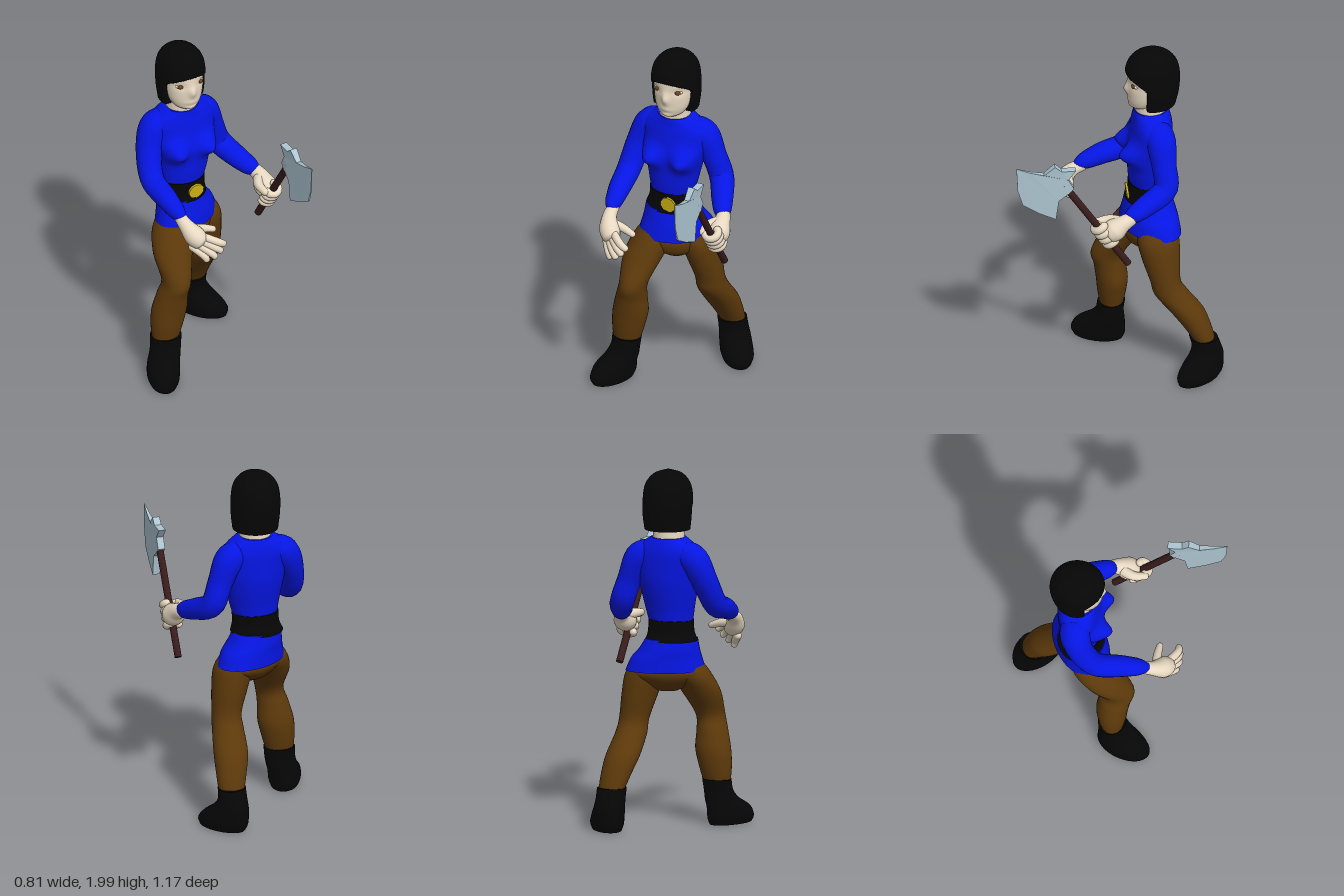
import * as THREE from 'three';

const mat = (name, color) => Object.assign(new THREE.MeshStandardMaterial({ color }), { name });
const V = (x, y, z) => new THREE.Vector3(x, y, z);
const spline = (pts) => new THREE.CatmullRomCurve3(pts, false, 'catmullrom', 0.5);

// Skin a list of closed rings, with separate flat caps at both ends
function skin(rings) {
  const n = rings[0].length, pos = [], idx = [];
  const add = (p) => pos.push(p.x, p.y, p.z) / 3 - 1;
  rings.forEach((r) => r.forEach(add));
  for (let j = 0; j < rings.length - 1; j++) {
    for (let i = 0; i < n; i++) {
      const a = j * n + i, b = j * n + (i + 1) % n;
      idx.push(a, b, a + n, b, b + n, a + n);
    }
  }
  [rings[0], rings[rings.length - 1]].forEach((ring, end) => {
    const mid = add(ring.reduce((s, p) => s.add(p), V(0, 0, 0)).divideScalar(n));
    const start = pos.length / 3;
    ring.forEach(add);
    for (let i = 0; i < n; i++) {
      const a = start + i, b = start + (i + 1) % n;
      if (end) idx.push(mid, a, b); else idx.push(mid, b, a);
    }
  });
  const g = new THREE.BufferGeometry();
  g.setAttribute('position', new THREE.Float32BufferAttribute(pos, 3));
  g.setIndex(idx);
  g.computeVertexNormals();
  return g;
}

// Stack of horizontal ellipses; rows are [cx, y, cz, rx, rz]; shape() may move a point
function loft(rows, { yaw = 0, steps = 24, sides = 32, shape } = {}) {
  const list = [...rows].sort((a, b) => a[1] - b[1]);
  const centre = spline(list.map((r) => V(r[0], r[1], r[2])));
  const radius = spline(list.map((r) => V(r[3], 0, r[4])));
  const rings = [];
  for (let j = 0; j <= steps; j++) {
    const c = centre.getPoint(j / steps), r = radius.getPoint(j / steps), ring = [];
    for (let i = 0; i < sides; i++) {
      const a = i / sides * Math.PI * 2;
      const p = V(r.x * Math.sin(a), 0, r.z * Math.cos(a)).applyAxisAngle(V(0, 1, 0), yaw).add(c);
      if (shape) shape(p, c);
      ring.push(p);
    }
    rings.push(ring);
  }
  return skin(rings);
}

// Round-ended tube; points are [x, y, z, radius]
function limb(points, steps = 24, sides = 18) {
  const path = spline(points.map((p) => V(p[0], p[1], p[2])));
  const radius = spline(points.map((p) => V(p[3], 0, 0)));
  const N = V(0.31, 0.2, 0.9), rings = [];
  for (let j = 0; j <= steps; j++) {
    const t = (1 - Math.cos(j / steps * Math.PI)) / 2;
    const c = path.getPoint(t), T = path.getTangent(t);
    N.addScaledVector(T, -N.dot(T)).normalize();
    const B = T.clone().cross(N);
    const e = Math.max(0, Math.abs(t - 0.5) - 0.4) / 0.1;
    const r = radius.getPoint(t).x * Math.max(0.08, Math.sqrt(Math.max(0, 1 - e * e)));
    rings.push(Array.from({ length: sides }, (_, i) => {
      const a = i / sides * Math.PI * 2;
      return c.clone().addScaledVector(N, r * Math.cos(a)).addScaledVector(B, r * Math.sin(a));
    }));
  }
  return skin(rings);
}

// Swell the front of a loft; bumps are [x, y, push, width, height]
const swell = (bumps) => (p, c) => {
  const front = Math.min(1, Math.max(0, (p.z - c.z) / 0.05));
  let dz = 0;
  for (const [x, y, push, w, h] of bumps) {
    dz += push * Math.exp(-(((p.x - x) / w) ** 2) - ((p.y - y) / h) ** 2);
  }
  p.z += dz * front;
};

export function createModel() {
  const model = new THREE.Group();
  model.name = 'axeFighter';
  const skinTone = mat('skin', 0xe9dac3), blue = mat('blueCloth', 0x0616e4), brown = mat('brownCloth', 0x5e3a0b);
  const black = mat('black', 0x060606), gold = mat('gold', 0xd4b814), steel = mat('steel', 0xaec6d2);
  const wood = mat('darkWood', 0x3a1c1c), white = mat('eyeWhite', 0xf2ece2), iris = mat('irisBrown', 0x74481a);
  const add = (name, geometry, material, parent = model) => {
    const m = new THREE.Mesh(geometry, material);
    m.name = name;
    parent.add(m);
    return m;
  };

  // Tunic, belt and buckle
  add('tunicTop', loft([
    [-0.058, 1.14, -0.185, 0.122, 0.098], [-0.052, 1.22, -0.185, 0.14, 0.108], [-0.05, 1.3, -0.192, 0.156, 0.117],
    [-0.048, 1.38, -0.2, 0.172, 0.121], [-0.047, 1.46, -0.205, 0.19, 0.118], [-0.052, 1.535, -0.21, 0.197, 0.112],
    [-0.054, 1.58, -0.21, 0.168, 0.104], [-0.053, 1.608, -0.207, 0.128, 0.098], [-0.053, 1.625, -0.205, 0.098, 0.094],
  ], { steps: 54, sides: 64, shape: swell([[-0.152, 1.385, 0.085, 0.066, 0.058], [0.056, 1.385, 0.085, 0.066, 0.058]]) }), blue);
  add('tunicSkirt', loft([
    [-0.03, 0.88, -0.195, 0.222, 0.143], [-0.036, 0.95, -0.196, 0.196, 0.138],
    [-0.052, 1.0, -0.195, 0.168, 0.132], [-0.065, 1.06, -0.192, 0.144, 0.12],
  ], { yaw: 0.5 }), blue);
  add('belt', loft([
    [-0.065, 1.05, -0.192, 0.147, 0.131], [-0.06, 1.1, -0.187, 0.132, 0.109], [-0.058, 1.165, -0.185, 0.13, 0.106],
  ]), black);
  const buckle = add('buckle', new THREE.CylinderGeometry(0.046, 0.046, 0.012, 10), gold);
  buckle.rotation.x = Math.PI / 2 + 0.12;
  buckle.position.set(-0.03, 1.108, -0.071);

  // Trousers
  add('hips', loft([
    [-0.03, 0.765, -0.17, 0.06, 0.06], [-0.03, 0.8, -0.18, 0.135, 0.105],
    [-0.032, 0.86, -0.193, 0.205, 0.132], [-0.035, 0.93, -0.195, 0.18, 0.12],
  ], { yaw: 0.5 }), brown);
  add('rightLeg', loft([
    [-0.125, 0.95, -0.15, 0.075, 0.085], [-0.146, 0.86, -0.125, 0.114, 0.116], [-0.182, 0.75, -0.06, 0.108, 0.107],
    [-0.2, 0.62, 0.013, 0.078, 0.094], [-0.218, 0.53, 0.002, 0.087, 0.088], [-0.23, 0.43, -0.012, 0.101, 0.088],
    [-0.243, 0.34, -0.013, 0.094, 0.08], [-0.252, 0.26, -0.012, 0.08, 0.066], [-0.256, 0.21, -0.008, 0.066, 0.055],
  ], { steps: 40 }), brown);
  add('leftLeg', loft([
    [0.065, 0.95, -0.23, 0.065, 0.085], [0.082, 0.86, -0.228, 0.106, 0.115], [0.105, 0.75, -0.24, 0.1, 0.107],
    [0.13, 0.61, -0.262, 0.083, 0.084], [0.133, 0.53, -0.295, 0.087, 0.095], [0.142, 0.42, -0.378, 0.095, 0.093],
    [0.155, 0.33, -0.43, 0.086, 0.078], [0.165, 0.25, -0.466, 0.074, 0.063], [0.167, 0.2, -0.48, 0.06, 0.052],
  ], { steps: 40 }), brown);

  // Boots
  add('rightBoot', loft([
    [-0.252, 0.262, -0.012, 0.087, 0.075], [-0.258, 0.2, -0.003, 0.085, 0.077], [-0.272, 0.15, 0.012, 0.086, 0.1],
    [-0.296, 0.1, 0.043, 0.09, 0.138], [-0.304, 0.045, 0.055, 0.089, 0.152], [-0.304, 0.01, 0.055, 0.077, 0.138],
  ], { yaw: -0.38 }), black);
  add('leftBoot', loft([
    [0.165, 0.25, -0.468, 0.082, 0.075], [0.165, 0.19, -0.485, 0.082, 0.08], [0.174, 0.14, -0.482, 0.086, 0.104],
    [0.194, 0.09, -0.458, 0.089, 0.139], [0.207, 0.045, -0.444, 0.089, 0.154], [0.21, 0.01, -0.438, 0.077, 0.14],
  ], { yaw: 0.66 }), black);

  // Sleeves
  add('rightSleeve', limb([
    [-0.13, 1.54, -0.215, 0.07], [-0.21, 1.51, -0.22, 0.084], [-0.263, 1.39, -0.185, 0.073],
    [-0.288, 1.25, -0.1, 0.066], [-0.275, 1.205, 0.04, 0.06], [-0.254, 1.15, 0.198, 0.04],
  ], 36), blue);
  add('leftSleeve', limb([
    [0.02, 1.54, -0.22, 0.07], [0.105, 1.505, -0.24, 0.083], [0.163, 1.38, -0.25, 0.069],
    [0.208, 1.255, -0.252, 0.068], [0.27, 1.19, -0.135, 0.06], [0.33, 1.145, -0.015, 0.043],
  ], 36), blue);

  // Open right hand
  const rightHand = new THREE.Group();
  rightHand.name = 'rightHand';
  model.add(rightHand);
  add('palm', limb([[-0.257, 1.16, 0.12, 0.03], [-0.25, 1.125, 0.21, 0.04], [-0.222, 1.075, 0.265, 0.058],
    [-0.185, 1.035, 0.305, 0.045]]), skinTone, rightHand);
  add('thumb', limb([[-0.23, 1.1, 0.235, 0.03], [-0.16, 1.085, 0.232, 0.024], [-0.078, 1.06, 0.245, 0.017]]), skinTone, rightHand);
  [[-0.073, 1.02, 0.347], [-0.098, 0.985, 0.357], [-0.135, 0.955, 0.358], [-0.18, 0.935, 0.34]].forEach(([x, y, z], i) => {
    const k = V(-0.17 - 0.017 * i, 1.065 - 0.02 * i, 0.31 - 0.008 * i);
    add('finger' + (i + 1), limb([[k.x - 0.03, k.y + 0.015, k.z - 0.03, 0.022],
      [(k.x + x) / 2, (k.y + y) / 2 + 0.006, (k.z + z) / 2 + 0.012, 0.022], [x, y, z, 0.017]]), skinTone, rightHand);
  });

  // Left fist closed round the handle
  const leftHand = new THREE.Group();
  leftHand.name = 'leftHand';
  model.add(leftHand);
  add('palm', limb([[0.315, 1.155, -0.07, 0.034], [0.333, 1.13, -0.005, 0.046], [0.338, 1.095, 0.045, 0.064],
    [0.345, 1.065, 0.095, 0.05]]), skinTone, leftHand);
  add('thumb', limb([[0.32, 1.13, 0.01, 0.035], [0.283, 1.13, 0.075, 0.026], [0.29, 1.12, 0.16, 0.019]]), skinTone, leftHand);
  const along = V(0, 0.83, 0.56);
  for (let i = 0; i < 4; i++) {
    const h = V(0.335, 1.075, 0.095).addScaledVector(along, 0.06 - 0.039 * i);
    const pts = [-80, -25, 30, 85, 140, 195].map((deg) => {
      const a = deg * Math.PI / 180, s = Math.sin(a) * 0.037;
      return [h.x + 0.037 * Math.cos(a), h.y - 0.56 * s, h.z + 0.83 * s, 0.022];
    });
    add('finger' + (i + 1), limb(pts), skinTone, leftHand);
  }

  // Axe handle and blade
  const axe = new THREE.Group();
  axe.name = 'axe';
  model.add(axe);
  const from = V(0.335, 0.868, -0.03), to = V(0.335, 1.41, 0.328);
  const handle = add('handle', new THREE.CylinderGeometry(0.02, 0.02, from.distanceTo(to), 12), wood, axe);
  handle.position.copy(from).add(to).multiplyScalar(0.5);
  handle.quaternion.setFromUnitVectors(V(0, 1, 0), to.clone().sub(from).normalize());
  const outline = [[0.59, 1.535], [0.51, 1.505], [0.437, 1.488], [0.378, 1.54], [0.341, 1.507], [0.262, 1.507],
    [0.304, 1.45], [0.272, 1.39], [0.31, 1.355], [0.357, 1.317], [0.373, 1.2], [0.468, 1.243], [0.555, 1.298], [0.583, 1.39]];
  const blade = new THREE.ExtrudeGeometry(new THREE.Shape(outline.map(([z, y]) => new THREE.Vector2(z, y))),
    { depth: 2, bevelEnabled: false });
  blade.translate(0, 0, -1);
  const bp = blade.attributes.position;
  for (let i = 0; i < bp.count; i++) { // thin the blade towards its cutting edge
    const edge = Math.min(1, Math.max(0, (bp.getX(i) - 0.38) / 0.21));
    bp.setZ(i, bp.getZ(i) * (0.02 - 0.018 * edge));
  }
  blade.rotateY(-Math.PI / 2);
  blade.translate(0.335, 0, 0);
  blade.computeVertexNormals();
  add('blade', blade, steel, axe);

  // Neck, face and eyes
  add('neck', loft([[-0.052, 1.56, -0.205, 0.09, 0.088], [-0.052, 1.63, -0.203, 0.087, 0.087], [-0.05, 1.72, -0.2, 0.083, 0.083]]), skinTone);
  add('face', loft([
    [-0.05, 1.648, -0.145, 0.045, 0.043], [-0.05, 1.67, -0.155, 0.075, 0.068], [-0.05, 1.72, -0.175, 0.1, 0.098],
    [-0.05, 1.8, -0.19, 0.112, 0.114], [-0.05, 1.88, -0.2, 0.114, 0.118], [-0.05, 1.95, -0.2, 0.08, 0.085],
  ], { steps: 40, sides: 56, shape: swell([
    [-0.05, 1.768, 0.022, 0.02, 0.034], [-0.05, 1.7, 0.006, 0.035, 0.014], [-0.05, 1.66, 0.01, 0.035, 0.016],
    [-0.117, 1.81, -0.008, 0.028, 0.018], [0.017, 1.81, -0.008, 0.028, 0.018],
  ]) }), skinTone);
  for (const [side, s] of [['right', -1], ['left', 1]]) {
    const eye = add(side + 'Eye', new THREE.SphereGeometry(1, 16, 10), white);
    eye.scale.set(0.024, 0.011, 0.012);
    eye.position.set(-0.05 + s * 0.064, 1.81, -0.107);
    eye.rotation.y = s * 0.5;
    const pupil = add(side + 'Iris', new THREE.SphereGeometry(1, 14, 10), iris);
    pupil.scale.set(0.016, 0.0125, 0.007);
    pupil.position.set(-0.05 + s * 0.064, 1.81, -0.098);
    pupil.rotation.y = s * 0.4;
  }

  // Bobbed hair, cut back from the face below an arched fringe
  add('hair', loft([
    [-0.05, 1.67, -0.215, 0.126, 0.127], [-0.05, 1.75, -0.215, 0.134, 0.145], [-0.052, 1.84, -0.213, 0.135, 0.153],
    [-0.052, 1.92, -0.213, 0.122, 0.138], [-0.052, 1.975, -0.213, 0.081, 0.091], [-0.052, 2.0, -0.213, 0.02, 0.022],
  ], { steps: 60, sides: 56, shape: (p) => {
    p.z = Math.min(p.z, -0.17 + 0.125 * THREE.MathUtils.smoothstep(p.y, 1.79, 1.895));
  } }), black);

  return model;
}
